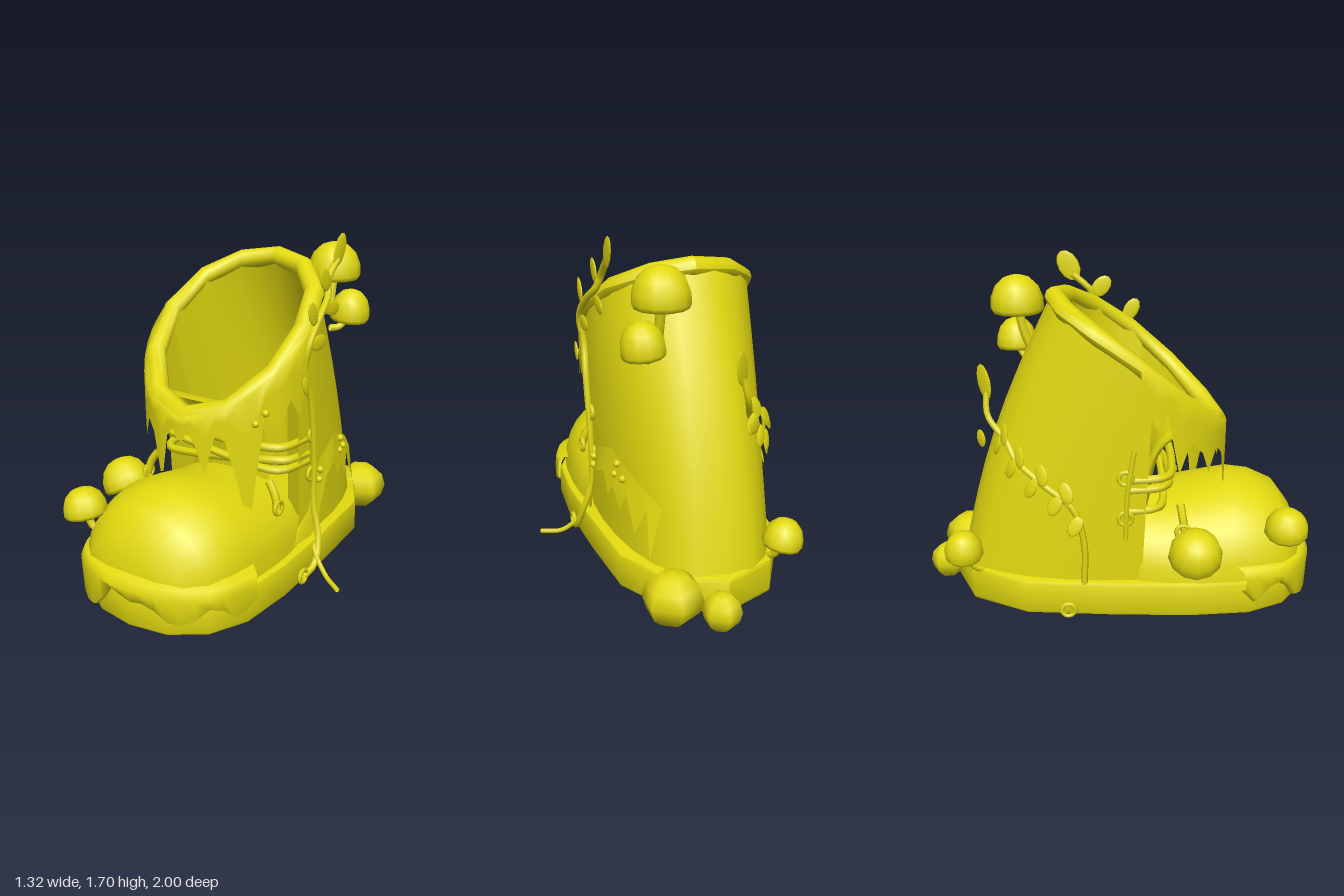
import * as THREE from 'three';
import { toCreasedNormals } from 'three/addons/utils/BufferGeometryUtils.js';

const V = (x, y, z) => new THREE.Vector3(x, y, z);
const rad = THREE.MathUtils.degToRad;
const CX = -0.02; // centre line of the boot

// Smooth sheet of nu x nv cells from a point rule
function sheet(nu, nv, rule) {
  const pos = [], idx = [];
  for (let i = 0; i <= nu; i++) for (let j = 0; j <= nv; j++) pos.push(...rule(i, j).toArray());
  for (let i = 0; i < nu; i++) for (let j = 0; j < nv; j++) {
    const a = i * (nv + 1) + j, b = a + nv + 1;
    idx.push(a, b, a + 1, b, b + 1, a + 1);
  }
  const g = new THREE.BufferGeometry();
  g.setAttribute('position', new THREE.Float32BufferAttribute(pos, 3));
  g.setIndex(idx);
  g.computeVertexNormals();
  return g;
}

// Slanted collar line; angle 0 is the back, 180 degrees the front
function collarPoint(a, grow = 0) {
  const u = (1 - Math.cos(a)) / 2;
  return V(CX + (0.385 + grow) * Math.sin(a), 1.545 - 0.63 * u + 0.06 * Math.sin(Math.PI * u), 0.1 - (0.4 + grow) * Math.cos(a));
}
// Wall from a squarish oval foot up to the collar, bulging at the back
function wallPoint(a, t, w, zc, d, grow) {
  const s = Math.sin(a);
  const p = V(CX + w * Math.sign(s) * Math.pow(Math.abs(s), 0.75), 0.2, zc - d * Math.cos(a)).lerp(collarPoint(a, grow), t);
  p.z -= 0.055 * Math.sin(Math.PI * t) * Math.max(0, Math.cos(a));
  return p;
}
const shaftPoint = (a, t) => wallPoint(a, t, 0.4, 0, 0.8, 0.025);
const shaftAt = (a, y) => shaftPoint(a, Math.min(1, (y - 0.2) / (collarPoint(a).y - 0.2)));
// Point on the outer shaft for a given z, height and side
function onShaft(z, y, side = 1, lift = 0.012) {
  let lo = 0, hi = 2.3;
  for (let i = 0; i < 24; i++) {
    const a = (lo + hi) / 2;
    if (shaftAt(a, y).z < z) lo = a; else hi = a;
  }
  return V(CX + side * (shaftAt(lo, y).x - CX + lift), y, z);
}

export function createModel() {
  const group = new THREE.Group();
  const yellow = new THREE.MeshStandardMaterial({ color: 0xe2d90f, side: THREE.DoubleSide });
  yellow.name = 'yellow';
  const add = (name, geo, pos) => {
    const m = new THREE.Mesh(geo, yellow);
    m.name = name;
    if (pos) m.position.copy(pos);
    group.add(m);
    return m;
  };
  const tube = (name, pts, r, n = 24) => add(name, new THREE.TubeGeometry(new THREE.CatmullRomCurve3(pts), n, r, 6));
  const ball = (name, p, r) => add(name, new THREE.SphereGeometry(r, 8, 6), p);
  const ring = (name, p) => {
    add(name, new THREE.TorusGeometry(0.033, 0.011, 6, 12), p).rotation.y = Math.PI / 2;
  };

  // Sole
  const half = [[0, 0.955], [0.19, 0.925], [0.34, 0.82], [0.425, 0.64], [0.445, 0.35], [0.425, -0.05], [0.39, -0.45], [0.24, -0.72], [0, -0.82]];
  const outline = [...half, ...half.slice(1, -1).reverse().map(([x, z]) => [-x, z])];
  const shape = new THREE.Shape(outline.map(([x, z]) => new THREE.Vector2(x, z)));
  const soleGeo = new THREE.ExtrudeGeometry(shape, { depth: 0.14, bevelThickness: 0.02, bevelSize: 0.02, bevelSegments: 2 });
  soleGeo.rotateX(Math.PI / 2);
  add('sole', toCreasedNormals(soleGeo, 0.75), V(-0.01, 0.19, 0));

  // Shaft, lining and padded collar
  const span = rad(98);
  add('shaft', sheet(14, 8, (i, j) => shaftPoint((i / 7 - 1) * span, j / 8)));
  add('lining', sheet(12, 6, (i, j) => wallPoint((i / 6 - 1) * span, j / 6, 0.25, -0.1, 0.5, -0.045)));
  add('collar', sheet(12, 10, (i, j) => {
    const a = (i / 12) * 2 * Math.PI, b = (j / 10) * 2 * Math.PI;
    const p = collarPoint(a, 0.05 * Math.cos(b));
    p.y += 0.05 * Math.sin(b);
    return p;
  }));

  // Toe: cross-sections along z as [z, half width, top]
  const toe = [[0.945, 0.01, 0.22], [0.935, 0.18, 0.32], [0.9, 0.29, 0.44], [0.82, 0.37, 0.55], [0.7, 0.41, 0.605], [0.58, 0.43, 0.62],
    [0.4, 0.44, 0.585], [0.25, 0.435, 0.55], [0.1, 0.41, 0.54]];
  add('toe', sheet(toe.length - 1, 16, (i, j) => {
    const [z, w, top] = toe[i], a = (j / 16) * Math.PI;
    return V(CX + w * Math.cos(a), 0.19 + (top - 0.19) * Math.pow(Math.max(0, Math.sin(a)), 0.85), z);
  }));

  // Scalloped toe guard: lower edge heights from left to right
  const guardPath = new THREE.CatmullRomCurve3([V(-0.485, 0, 0.62), V(-0.41, 0, 0.84), V(-0.23, 0, 0.965), V(-0.01, 0, 0.995), V(0.21, 0, 0.965), V(0.39, 0, 0.84), V(0.465, 0, 0.62)]);
  const hems = [0.17, 0.1, 0.17, 0.19, 0.15, 0.07, 0.05, 0.06, 0.12, 0.21, 0.19, 0.17, 0.18, 0.16, 0.11, 0.1, 0.13, 0.18, 0.16, 0.1, 0.11, 0.15];
  add('toeGuard', sheet(hems.length - 1, 4, (i, j) => {
    const p = guardPath.getPointAt(i / (hems.length - 1));
    const s = [0.97, 1, 1.005, 0.98, 0.86][j];
    return V(p.x * s, [hems[i], hems[i] + 0.01, 0.235, 0.275, 0.295][j], p.z * (j === 4 ? 0.9 : s));
  }));

  // Padded tongue
  const tongue = new THREE.CatmullRomCurve3([V(0, 0.95, 0.45), V(0, 0.92, 0.32), V(0, 0.84, 0.22), V(0, 0.62, 0.15), V(0, 0.22, 0.13)]);
  add('tongue', sheet(14, 16, (i, j) => {
    const p = tongue.getPoint(i / 14), t = tongue.getTangent(i / 14), b = (j / 16) * 2 * Math.PI;
    const s = Math.cos(b), thick = 0.028 * Math.sign(Math.sin(b)) * Math.sqrt(Math.abs(Math.sin(b)));
    return V(-0.04 + 0.235 * s, p.y - t.z * thick, p.z + t.y * thick - 0.03 * s * s);
  }));

  // Dripping fringe under the collar: [degrees from front, lower edge]
  const drips = [[-90, 1.17], [-80, 1.0], [-74, 1.08], [-66, 0.77], [-58, 0.92], [-48, 0.85], [-42, 0.74], [-33, 0.85], [-25, 0.8], [-18, 0.61],
    [-15, 0.62], [-10, 0.82], [-5, 0.86], [-2, 0.81], [2, 0.81], [6, 0.86], [11, 0.8], [17, 0.66], [24, 0.86], [30, 0.83], [38, 0.6],
    [42, 0.46], [46, 0.47], [49, 0.65], [54, 0.93], [64, 0.87], [72, 1.0], [80, 0.9], [90, 1.15]];
  add('fringe', sheet(drips.length - 1, 4, (i, j) => {
    const [deg, low] = drips[i];
    const p = collarPoint(Math.PI - rad(deg), j === 0 ? 0.025 : 0.054);
    const top = p.y + 0.025;
    p.y = j === 0 ? top : THREE.MathUtils.lerp(top - 0.02, low, (j - 1) / 3);
    return p;
  }));
  [[0.32, 0.92, 0.42], [0.355, 0.97, 0.39]].forEach(p => ball('dewDrop', V(...p), 0.018));

  // Jagged side patch, flaring away from the shaft: [z, upper edge, lower edge]
  const patch = [[0.2, 0.24, 0.22], [0.05, 0.36, 0.22], [0, 0.5, 0.25], [-0.05, 0.6, 0.38], [-0.1, 0.62, 0.5], [-0.2, 0.66, 0.54], [-0.25, 0.67, 0.43],
    [-0.3, 0.65, 0.5], [-0.37, 0.62, 0.4], [-0.42, 0.6, 0.5], [-0.5, 0.56, 0.33], [-0.56, 0.53, 0.48], [-0.61, 0.5, 0.24]];
  add('sidePatch', sheet(patch.length - 1, 2, (i, j) => {
    const [z, top, low] = patch[i];
    return onShaft(z, top + (low - top) * j / 2, 1, 0.014 + 0.01 * j);
  }));
  [[-0.3, 0.56], [-0.37, 0.56], [-0.32, 0.62], [-0.03, 0.5], [-0.04, 0.55]].forEach(([z, y]) => ball('dewDrop', onShaft(z, y, 1, 0.025), 0.018));

  // Laces, eyelets and hanging lace ends
  [[0.74, 0.74, 0.25], [0.69, 0.62, 0.24], [0.58, 0.66, 0.21]].forEach(([l, r, z]) =>
    tube('lace', [V(-0.415, l, 0.04), V(-0.385, l, z - 0.04), V(-0.33, l, z), V(0.29, r, z), V(0.345, r, z - 0.04), V(0.375, r, 0.04)], 0.022, 32));
  for (const s of [-1, 1]) {
    [[0.03, 0.76], [0.03, 0.55]].forEach(([z, y]) => ring('eyelet', onShaft(z, y, s, 0.01)));
    ring('eyelet', V(CX + s * 0.4, 0.47, 0.31));
    tube('laceLoop', [V(CX + s * 0.4, 0.46, 0.32), V(CX + s * 0.38, 0.53, 0.31), V(CX + s * 0.34, 0.59, 0.3)], 0.02, 8);
  }
  tube('laceEnd', [onShaft(0.07, 0.9, -1), onShaft(0.04, 0.7, -1, 0.02), onShaft(0.03, 0.45, -1, 0.02)], 0.014);

  // Leaf: flattened ellipsoid facing an outward direction
  const leaf = (p, w, h, roll, facing) => {
    const m = add('leaf', new THREE.SphereGeometry(1, 12, 6), p);
    m.scale.set(w, h, 0.008);
    m.lookAt(p.clone().add(facing));
    m.rotateZ(roll);
  };

  // Vine on the left side, with a trailing root
  tube('leftVine', [V(0.46, 0.07, 0.2), V(0.47, 0.1, 0.11), V(0.45, 0.22, 0.04), onShaft(0.02, 0.38, 1, 0.025), onShaft(0.02, 0.6, 1, 0.02), onShaft(0.07, 0.95, 1, 0.02),
    V(0.4, 1.1, 0.12), V(0.42, 1.24, 0.12), V(0.41, 1.36, 0), V(0.39, 1.43, -0.1), V(0.37, 1.5, -0.13), V(0.37, 1.58, -0.22)], 0.018, 48);
  tube('leftRoot', [V(0.42, 0.2, 0.05), V(0.47, 0.14, 0.09), V(0.55, 0.07, 0.13), V(0.65, 0.05, 0.19)], 0.012);
  ring('rootCurl', V(0.465, 0.08, 0.21));
  [[1.625, -0.24, 0.055, 0.085, -0.5, 0.37], [1.51, -0.07, 0.045, 0.065, 0.7, 0.39], [1.36, -0.14, 0.075, 0.038, -0.2, 0.39],
    [1.38, 0.09, 0.04, 0.065, 0.5, 0.42], [1.23, 0.03, 0.07, 0.038, 0, 0.42], [1.05, 0.16, 0.025, 0.05, 0.3, 0.43]]
    .forEach(([y, z, w, h, roll, x]) => leaf(V(x, y, z), w, h, roll, V(1, 0, 0)));

  // Vine climbing the right side towards the back
  const vine = [V(-0.43, 0.2, -0.17), onShaft(-0.17, 0.42, -1), onShaft(-0.22, 0.59, -1), onShaft(-0.37, 0.71, -1),
    ...[[-37, 0.8], [-27, 0.87]].map(([deg, y]) => shaftAt(rad(deg), y)), V(-0.17, 0.99, -0.635), V(-0.14, 1.1, -0.64)];
  tube('rightVine', vine, 0.016, 36);
  const climb = new THREE.CatmullRomCurve3(vine);
  for (let i = 0; i < 9; i++) {
    const p = climb.getPointAt(0.32 + i * 0.06), out = V(p.x, 0.1, p.z + 0.1).normalize();
    p.addScaledVector(out, 0.025);
    p.y += i % 2 ? 0.06 : -0.055;
    leaf(p, 0.035, 0.055, i % 2 ? 0.4 : -0.5, out);
  }
  leaf(V(-0.13, 1.15, -0.65), 0.055, 0.09, 0.3, V(-0.7, 0, -0.8));
  leaf(V(-0.19, 0.88, -0.67), 0.04, 0.045, 0.2, V(-0.6, 0, -0.8));
  ring('rootCurl', V(-0.475, 0.08, -0.25));

  // Mushrooms: cap centre, radius, cap height, tilt, foot of the stem
  const mushroom = (p, r, h, tiltZ, foot) => {
    const prof = [[0, -0.15], [0.6, -0.2], [0.92, -0.25], [1, -0.1], [0.97, 0.25], [0.8, 0.64], [0.5, 0.9], [0.2, 0.99], [0, 1]];
    const geo = new THREE.LatheGeometry(prof.map(([x, y]) => new THREE.Vector2(x * r, y * h)), 12);
    add('mushroomCap', geo, p).rotation.z = tiltZ;
    tube('mushroomStem', [p, p.clone().lerp(foot, 0.5).add(V(0, -0.03, 0)), foot], r * 0.18, 10);
  };
  mushroom(V(-0.39, 0.46, 0.82), 0.108, 0.11, 0.2, V(-0.33, 0.36, 0.8));
  mushroom(V(-0.53, 0.4, 0.36), 0.13, 0.13, 0.45, V(-0.43, 0.25, 0.36));
  mushroom(V(0.2, 1.46, -0.5), 0.137, 0.15, 0, V(0.2, 1.24, -0.44));
  mushroom(V(0.29, 1.24, -0.515), 0.105, 0.13, -0.1, V(0.22, 1.17, -0.43));
  mushroom(V(-0.305, 0.32, -0.77), 0.097, 0.11, 0.2, V(-0.27, 0.2, -0.68));

  // Chunky rounded caps at the heel
  [[0.25, 0.145, -0.8, 0.145, 0.13], [0.05, 0.095, -0.905, 0.095, 0.095]].forEach(([x, y, z, r, h]) => {
    const m = add('heelCap', new THREE.SphereGeometry(1, 6, 6), V(x, y, z));
    m.scale.set(r, h, r);
    m.rotation.y = Math.PI / 6;
  });
  return group;
}
